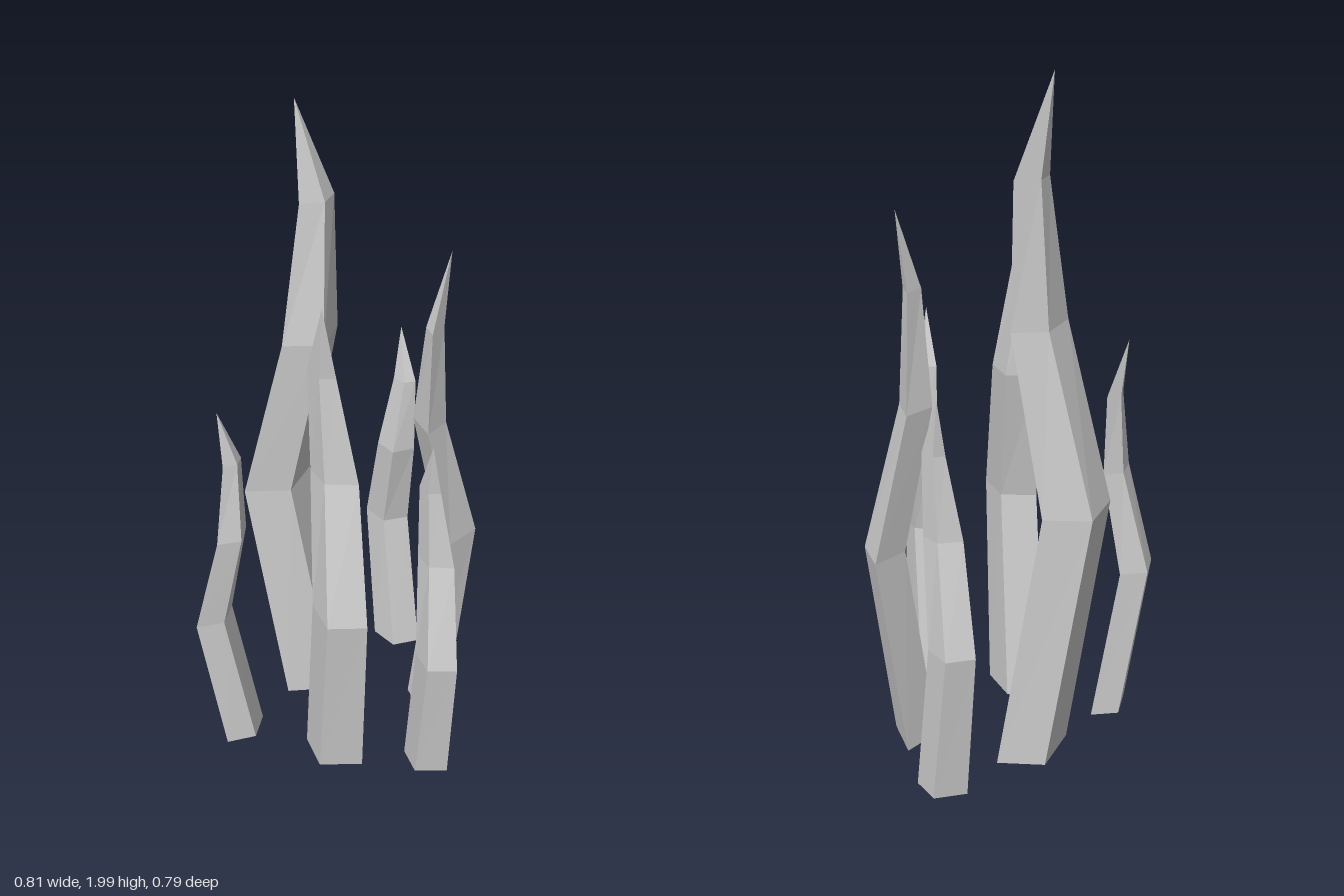
import * as THREE from 'three';

// Cross-sections of the tallest blade, [x, z] relative to its tip, bottom to top
const rings = [
  { y: 0, pts: [[-0.12, 0.005], [0.033, -0.04], [0.118, 0.07], [-0.017, 0.11]] },
  { y: 0.8, pts: [[-0.167, -0.09], [-0.037, -0.13], [0.048, -0.025], [-0.077, 0.01]] },
  { y: 1.32, pts: [[-0.107, 0.025], [0.003, 0], [0.073, 0.07], [-0.032, 0.11]] },
  { y: 1.72, pts: [[-0.032, 0.035], [0.02, 0.02], [0.073, 0.065], [0.018, 0.08]] },
  { y: 1.99, pts: [[0, 0], [0, 0], [0, 0], [0, 0]] },
];

// Four-sided, bent blade closed at the base and pointed at the tip
function bladeGeometry() {
  const pos = [];
  const at = (r, i) => [rings[r].pts[i][0], rings[r].y, rings[r].pts[i][1]];
  const tri = (a, b, c) => pos.push(...a, ...b, ...c);
  const last = rings.length - 1;
  for (let r = 0; r < last; r++) {
    for (let i = 0; i < 4; i++) {
      const j = (i + 1) % 4;
      tri(at(r, j), at(r, i), at(r + 1, i));
      if (r + 1 < last) tri(at(r, j), at(r + 1, i), at(r + 1, j));
    }
  }
  tri(at(0, 0), at(0, 1), at(0, 2));
  tri(at(0, 0), at(0, 2), at(0, 3));
  const geo = new THREE.BufferGeometry();
  geo.setAttribute('position', new THREE.Float32BufferAttribute(pos, 3));
  geo.computeVertexNormals();
  return geo;
}

export function createModel() {
  const group = new THREE.Group();
  group.name = 'grassTuft';
  const grey = new THREE.MeshStandardMaterial({ color: 0xcccccc, flatShading: true });
  grey.name = 'pale grey';
  const geo = bladeGeometry();

  // name, tip x, base y, tip z, scale, turn in degrees
  const blades = [
    ['tallBlade', 0.037, 0.01, -0.265, 1, 0],
    ['leftMiddleBlade', 0.218, 0.01, 0.107, 0.81, 136],
    ['rightMiddleBlade', -0.214, 0.01, 0.033, 0.81, -114],
    ['frontSmallBlade', -0.072, 0.028, 0.28, 0.607, -113],
    ['rightBackSmallBlade', -0.294, 0.008, -0.278, 0.607, -11],
    ['leftBackSmallBlade', 0.36, 0.006, -0.167, 0.607, 52],
  ];
  for (const [name, x, y, z, s, deg] of blades) {
    const blade = new THREE.Mesh(geo, grey);
    blade.name = name;
    blade.position.set(x, y, z);
    blade.scale.setScalar(s);
    blade.rotation.y = -THREE.MathUtils.degToRad(deg);
    group.add(blade);
  }
  return group;
}
